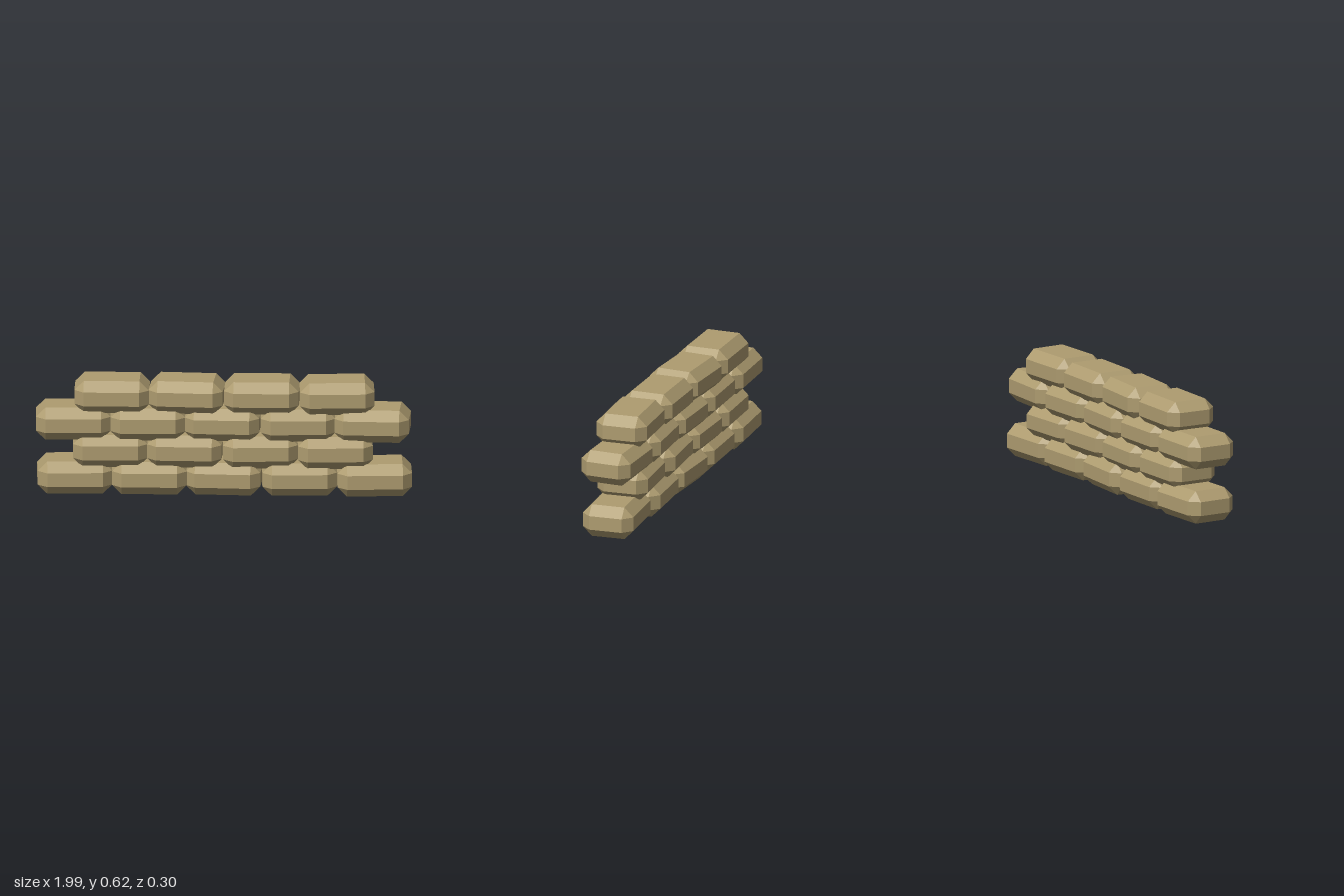
import * as THREE from 'three';
import { ConvexGeometry } from 'three/addons/geometries/ConvexGeometry.js';

const LENGTH = 0.393, HEIGHT = 0.175, DEPTH = 0.28, BEVEL = 0.05;
const PITCH = 0.394, RISE = 0.1473;

// Box with every edge cut flat and a triangle at each corner
function bevelledBox(w, h, d, b) {
  const points = [];
  for (const sx of [-1, 1]) for (const sy of [-1, 1]) for (const sz of [-1, 1]) {
    const x = w / 2, y = h / 2, z = d / 2;
    points.push(
      new THREE.Vector3(sx * x, sy * (y - b), sz * (z - b)),
      new THREE.Vector3(sx * (x - b), sy * y, sz * (z - b)),
      new THREE.Vector3(sx * (x - b), sy * (y - b), sz * z)
    );
  }
  return new ConvexGeometry(points);
}

// Each course, bottom to top: sideways shift and the slight turn of every bag
const COURSES = [
  { shift: 0, turns: [0.05, 0.02, -0.05, 0.05, 0.067] },
  { shift: -0.01, turns: [0.03, -0.02, 0.06, 0.07] },
  { shift: -0.008, turns: [0.03, 0.02, -0.03, 0.05, -0.03] },
  { shift: 0, turns: [0, -0.06, 0, 0.06] },
];

export function createModel() {
  const wall = new THREE.Group();
  wall.name = 'sandbagWall';
  const burlap = new THREE.MeshStandardMaterial({ color: 0xae9c70 });
  burlap.name = 'burlap';
  burlap.flatShading = true;
  const bagGeometry = bevelledBox(LENGTH, HEIGHT, DEPTH, BEVEL);

  COURSES.forEach(({ shift, turns }, row) => {
    const course = new THREE.Group();
    course.name = `course${row + 1}`;
    course.position.set(shift, HEIGHT / 2 + row * RISE, 0);
    turns.forEach((turn, i) => {
      const bag = new THREE.Mesh(bagGeometry, burlap);
      bag.name = `sandbag${i + 1}`;
      bag.position.x = (i - (turns.length - 1) / 2) * PITCH;
      bag.rotation.y = turn;
      course.add(bag);
    });
    wall.add(course);
  });
  return wall;
}
